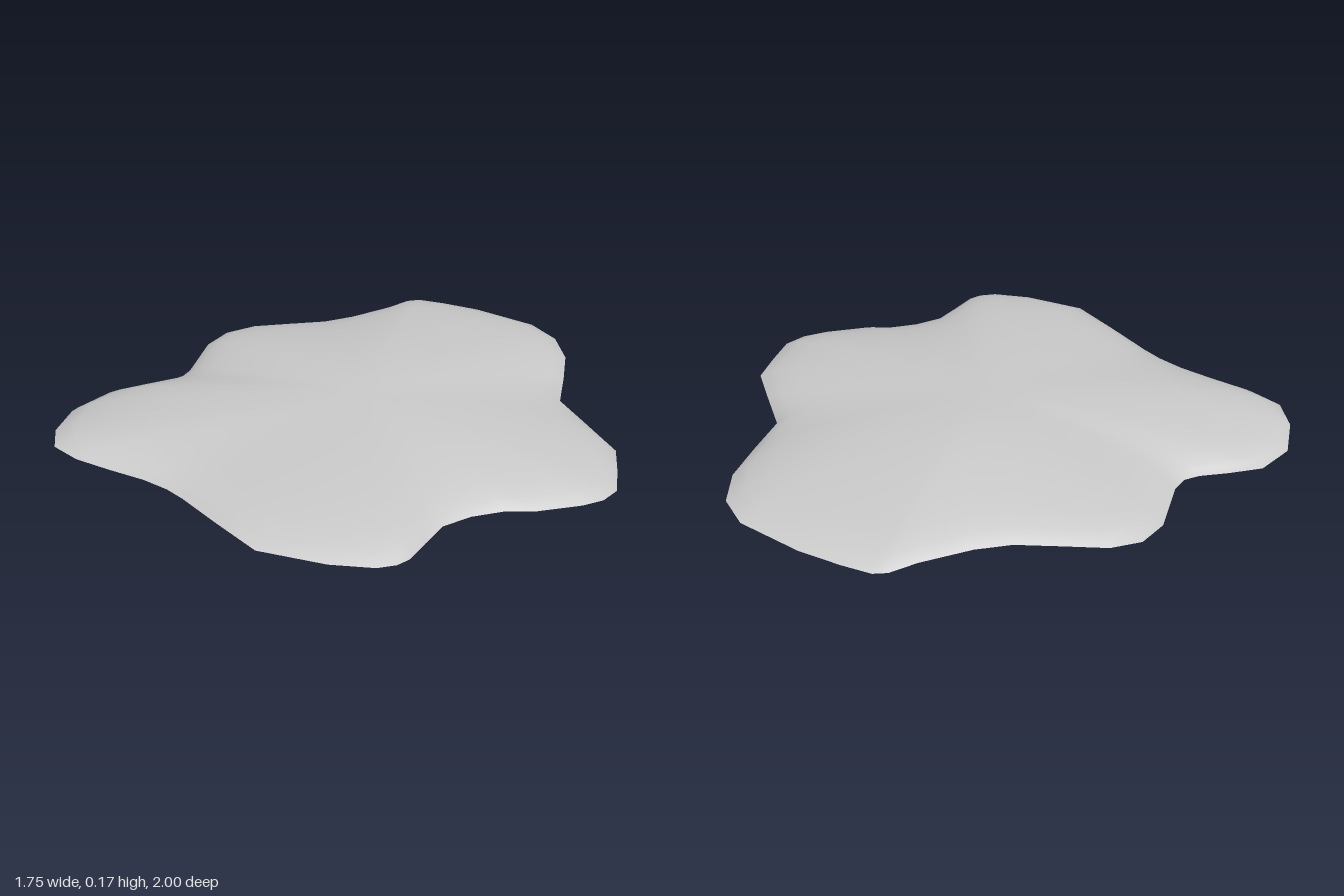
import * as THREE from 'three';

// Rim of the slab seen from above: x, z pairs, clockwise from the back
const RIM = [
  [-0.15, -1], [-0.01, -1], [0.12, -0.93], [0.23, -0.81], [0.34, -0.68], [0.52, -0.645], [0.69, -0.61],
  [0.78, -0.52], [0.86, -0.43], [0.873, -0.35], [0.855, -0.27], [0.79, -0.11], [0.735, -0.03], [0.695, 0.08],
  [0.683, 0.19], [0.72, 0.29], [0.755, 0.38], [0.755, 0.43], [0.73, 0.49], [0.63, 0.6], [0.44, 0.74],
  [0.24, 0.765], [0.05, 0.785], [-0.03, 0.8], [-0.13, 0.835], [-0.26, 0.9], [-0.39, 0.965], [-0.51, 0.995],
  [-0.62, 0.945], [-0.725, 0.835], [-0.755, 0.69], [-0.72, 0.57], [-0.685, 0.46], [-0.68, 0.4], [-0.705, 0.34],
  [-0.84, 0.18], [-0.875, 0.07], [-0.85, -0.04], [-0.77, -0.17], [-0.69, -0.3], [-0.65, -0.42], [-0.62, -0.6],
  [-0.617, -0.7], [-0.595, -0.745], [-0.51, -0.81], [-0.38, -0.895],
];

// Height profiles: [fraction of the way to the rim, height]
const TOP = [[0.15, 0.168], [0.3, 0.165], [0.5, 0.156], [0.7, 0.14], [0.84, 0.122], [0.93, 0.105], [0.975, 0.088], [1, 0.076]];
const BOTTOM = [[0.3, 0.035], [0.6, 0.035], [0.76, 0.037], [0.86, 0.047], [0.94, 0.061], [1, 0.076]];

const bump = (x, z, cx, cz, r) => Math.exp(-((x - cx) ** 2 + (z - cz) ** 2) / (r * r));

// Slight twist of the whole slab, a sagging front corner and a low crest
function warp(x, z, top) {
  const twist = 0.05 * x * z * (1 - 0.6 * bump(x, z, -0.51, 1, 0.25));
  const sag = top ? 0 : -0.013 * bump(x, z, -0.56, 0.65, 0.25);
  const crest = top ? 0.012 * bump(x, z, -0.2, -0.25, 0.3) : 0;
  return twist + sag + crest;
}

// One skin of the slab: rings scaled from the rim, closed by a centre point
function skin(profile, top) {
  const n = RIM.length;
  const pos = [0, profile[0][1] + warp(0, 0, top), 0];
  const index = [];
  const face = (a, b, c) => index.push(...(top ? [a, b, c] : [a, c, b]));
  profile.forEach(([s, y], j) => {
    RIM.forEach(([rx, rz], i) => {
      const x = rx * s, z = rz * s, k = (i + 1) % n;
      pos.push(x, y + warp(x, z, top && s < 1), z);
      const a = 1 + j * n + i, b = 1 + j * n + k;
      if (j === 0) face(0, b, a);
      else {
        face(a - n, b, a);
        face(a - n, b - n, b);
      }
    });
  });
  const geo = new THREE.BufferGeometry();
  geo.setAttribute('position', new THREE.Float32BufferAttribute(pos, 3));
  geo.setIndex(index);
  geo.computeVertexNormals();
  return geo;
}

export function createModel() {
  const group = new THREE.Group();
  group.name = 'flatStone';
  const material = new THREE.MeshStandardMaterial({ color: 0xcccccc, side: THREE.DoubleSide });
  const add = (name, geo) => {
    const mesh = new THREE.Mesh(geo, material);
    mesh.name = name;
    group.add(mesh);
  };
  add('upperSurface', skin(TOP, true));
  add('underside', skin(BOTTOM, false));
  return group;
}
